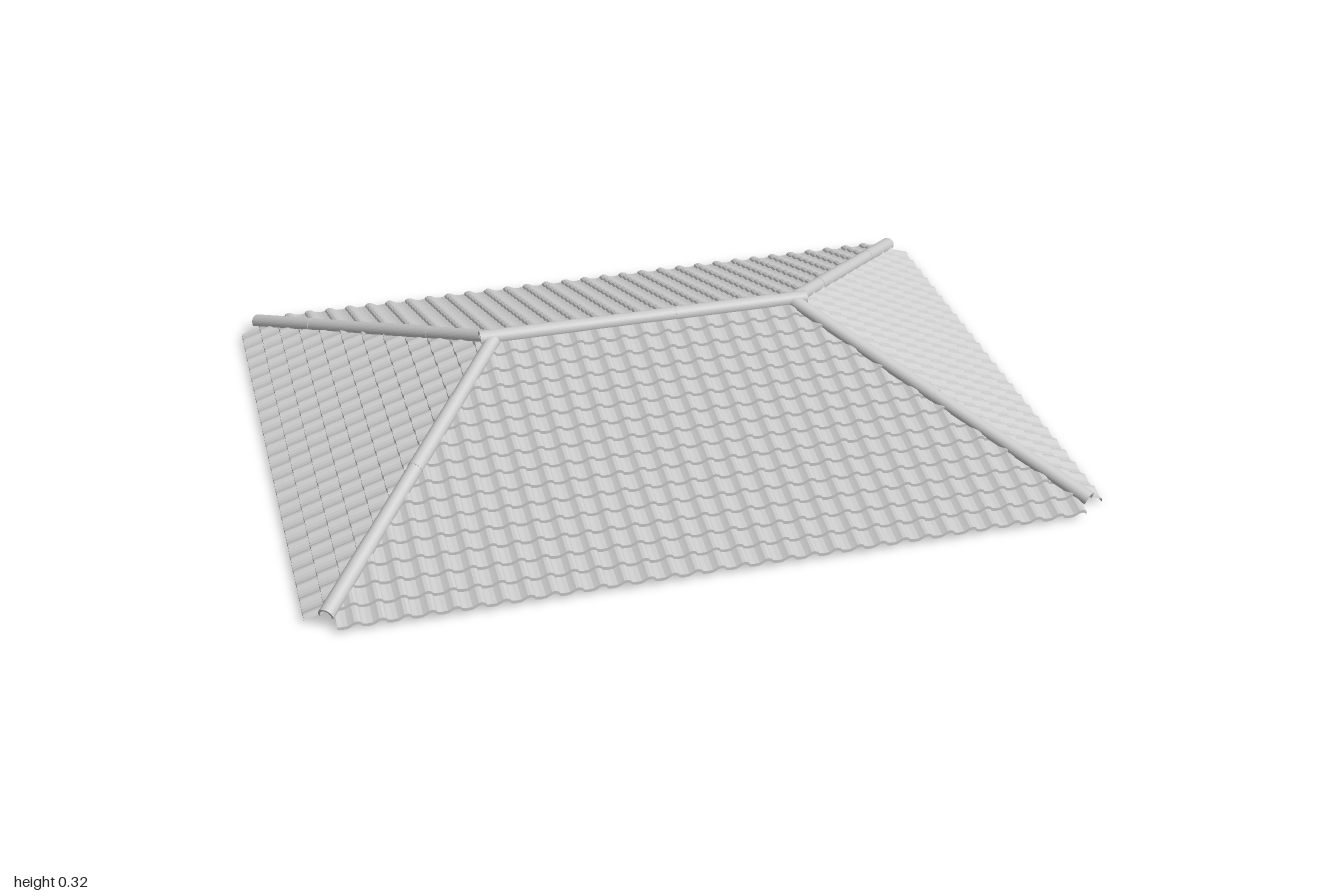
import * as THREE from 'three';

const APEX = 0.283;      // height where the slopes meet
const PITCH = 0.36;      // drop per unit of z
const HIP = 0.76;        // x travelled per unit of z along a hip
const RIDGE = 0.4;       // half length of the ridge line

const material = new THREE.MeshStandardMaterial({ color: 0xcccccc, flatShading: true, side: THREE.DoubleSide });

// Pantile cross-section: shallow pan, then a raised roll with a steep far edge
const PROFILE = [[0, 0.002], [0.2, 0], [0.42, 0.001], [0.56, 0.005], [0.68, 0.009], [0.82, 0.01], [0.94, 0.007]];

function wave(t) {
  const f = t - Math.floor(t);
  for (let i = 0; i < PROFILE.length; i++) {
    const [a, ha] = PROFILE[i];
    const [b, hb] = PROFILE[i + 1] || [1, PROFILE[0][1]];
    if (f <= b) return ha + (hb - ha) * (f - a) / (b - a);
  }
  return 0;
}

// One tiled slope falling towards +z, trimmed along its hips
function tiledSlope(name, { run, pitch, halfEave, limit, cols, rows }) {
  const width = 2 * halfEave / cols;
  const us = [];
  for (let c = 0; c < cols; c++) for (const [t] of PROFILE) us.push(-halfEave + (c + t) * width);
  us.push(halfEave);

  // Saw-tooth courses: the lower end of each tile is lifted over the one below
  const courses = [];
  for (let r = 0; r < rows; r++) {
    const d = run * (1 - r / rows);
    courses.push([d, 0], [d, 0.008]);
  }
  courses.push([0, 0]);

  const positions = [], index = [], n = us.length;
  courses.forEach(([d, lift], j) => {
    const lim = Math.min(halfEave, limit(d));
    us.forEach((u0, i) => {
      const u = THREE.MathUtils.clamp(u0, -lim, lim);
      positions.push(u, APEX - pitch * d + lift + wave((u + halfEave) / width), d);
      if (j && i) {
        const a = (j - 1) * n + i - 1, b = a + 1, top = a + n;
        index.push(a, b, top + 1, a, top + 1, top);
      }
    });
  });
  const geometry = new THREE.BufferGeometry();
  geometry.setAttribute('position', new THREE.Float32BufferAttribute(positions, 3));
  geometry.setIndex(index);
  geometry.computeVertexNormals();
  const mesh = new THREE.Mesh(geometry, material);
  mesh.name = name;
  return mesh;
}

// Arched capping tile running from one point to another
function cappingTile(name, from, to, radius) {
  const shape = new THREE.Shape();
  const dip = 0.3;
  shape.absarc(0, 0, radius, -dip, Math.PI + dip, false);
  shape.absarc(0, 0, radius - 0.005, Math.PI + dip, -dip, true);
  const geometry = new THREE.ExtrudeGeometry(shape, { depth: from.distanceTo(to), bevelEnabled: false, curveSegments: 10 });
  const mesh = new THREE.Mesh(geometry, material);
  mesh.name = name;
  mesh.position.copy(from);
  mesh.lookAt(to);
  return mesh;
}

export function createModel() {
  const roof = new THREE.Group();
  roof.name = 'hipRoof';

  // Long front and back slopes
  const long = { run: 0.76, pitch: PITCH, halfEave: 0.93, limit: d => RIDGE + HIP * d, cols: 32, rows: 15 };
  const front = tiledSlope('frontSlope', long);
  const back = tiledSlope('backSlope', long);
  back.rotation.y = Math.PI;

  // Triangular end slopes
  const end = { run: 0.6, pitch: PITCH / HIP, halfEave: 0.7, limit: d => d / HIP, cols: 24, rows: 12 };
  const left = tiledSlope('leftSlope', end);
  left.rotation.y = Math.PI / 2;
  left.position.x = RIDGE;
  const right = tiledSlope('rightSlope', end);
  right.rotation.y = -Math.PI / 2;
  right.position.x = -RIDGE;
  roof.add(front, back, left, right);

  // Ridge capping
  const ridge = new THREE.Group();
  ridge.name = 'ridgeCapping';
  const joints = [-0.44, -0.165, 0.08, 0.35, 0.44];
  for (let i = 0; i < 4; i++) {
    ridge.add(cappingTile('ridgeTile', new THREE.Vector3(joints[i], 0.295, 0),
      new THREE.Vector3(joints[i + 1], 0.295, 0), i % 2 ? 0.019 : 0.02));
  }
  roof.add(ridge);

  // Hip capping on the four corners
  for (const sx of [-1, 1]) for (const sz of [-1, 1]) {
    const hip = new THREE.Group();
    hip.name = (sz > 0 ? 'front' : 'back') + (sx > 0 ? 'Left' : 'Right') + 'HipCapping';
    const at = z => new THREE.Vector3(sx * (RIDGE + HIP * z), APEX + 0.009 - PITCH * z, sz * z);
    const count = 4, low = 0.725;
    for (let i = 0; i < count; i++) {
      const start = at(low * (1 - i / count));
      const stop = at(low * (1 - (i + 1) / count));
      hip.add(cappingTile('hipTile', start, stop, i % 2 ? 0.019 : 0.02));
    }
    roof.add(hip);
  }
  return roof;
}
